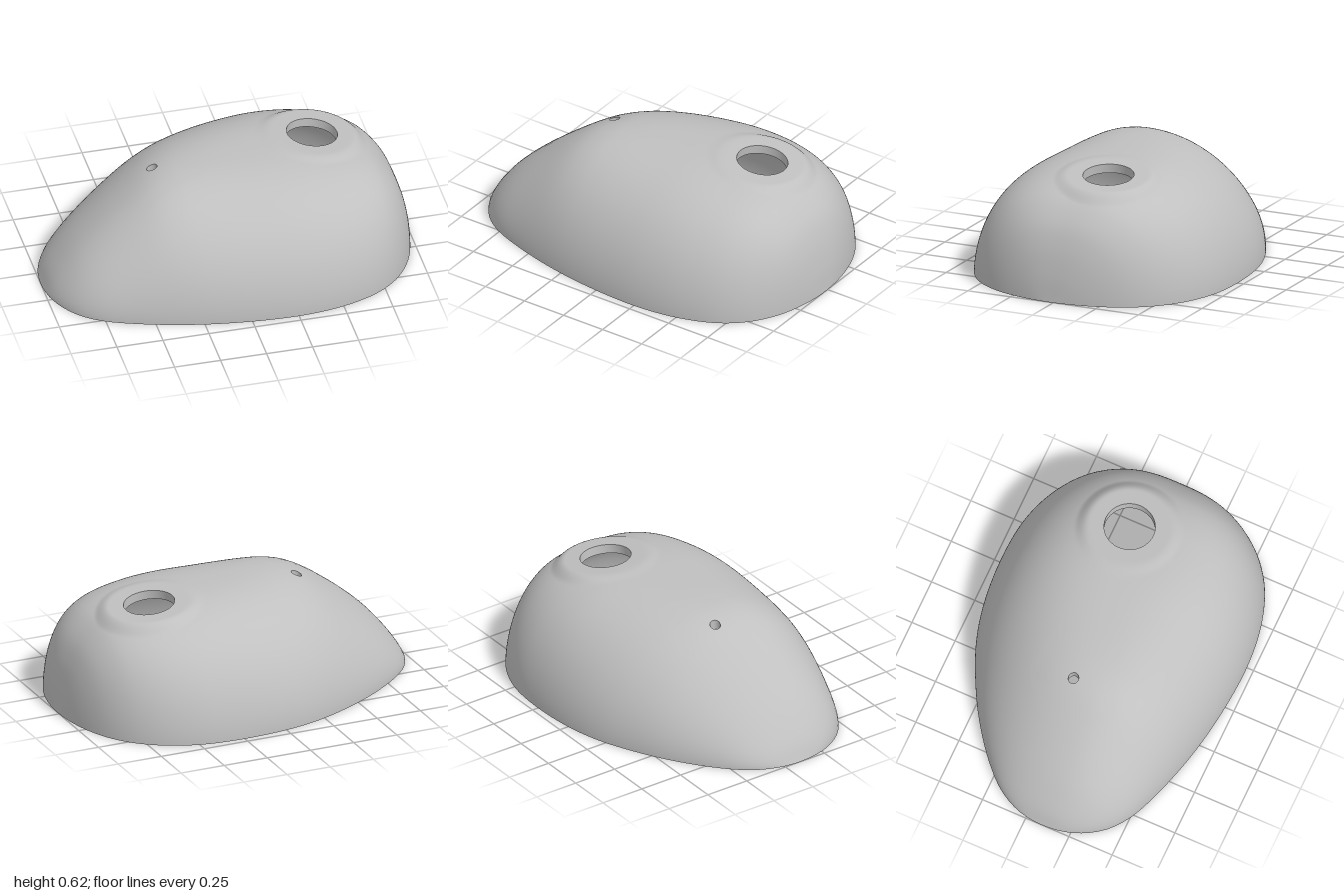
import * as THREE from 'three';

const COLS = 220, ROWS = 84, WALL = 0.05;
const BIG = { x: 0.52, z: -0.09, r: 0.135 };      // large opening
const SMALL = { x: -0.37, z: -0.01, r: 0.028 };   // small drilled hole
const J0 = 110, CUT = 3, BLEND = 9;               // grid block around the small hole
const { lerp, smoothstep } = THREE.MathUtils;

const spline = (pts, closed) => new THREE.CatmullRomCurve3(
  pts.map(([x, y]) => new THREE.Vector3(x, y, 0)), closed, 'centripetal').getPoints(1200);

// piecewise-linear lookup in a list of [key, value] sorted by key
function lookup(list, k) {
  let lo = 0, hi = list.length - 1;
  if (k <= list[lo][0]) return list[lo][1];
  if (k >= list[hi][0]) return list[hi][1];
  while (hi - lo > 1) {
    const m = (lo + hi) >> 1;
    if (list[m][0] <= k) lo = m; else hi = m;
  }
  const t = (k - list[lo][0]) / (list[hi][0] - list[lo][0] || 1);
  return lerp(list[lo][1], list[hi][1], t);
}
const sorted = (list) => list.sort((a, b) => a[0] - b[0]);

// base outline (x, z): back edge, then front edge
const backEdge = [[-1, 0.12], [-0.985, -0.03], [-0.92, -0.17], [-0.8, -0.3], [-0.6, -0.452], [-0.4, -0.565],
  [-0.2, -0.65], [0, -0.697], [0.25, -0.715], [0.48, -0.695], [0.66, -0.63], [0.8, -0.53], [0.9, -0.4],
  [0.97, -0.22], [1, 0]];
const frontEdge = [[0.985, 0.18], [0.93, 0.36], [0.835, 0.505], [0.7, 0.61], [0.5, 0.682], [0.27, 0.711],
  [0, 0.7], [-0.3, 0.655], [-0.6, 0.572], [-0.78, 0.495], [-0.89, 0.405], [-0.97, 0.27]];
const outline = spline([...backEdge, ...frontEdge], true);
const split = outline.reduce((best, p, i) => (p.x > outline[best].x ? i : best), 0);
const backZ = sorted(outline.slice(0, split + 1).map((p) => [p.x, p.y]));
const frontZ = sorted(outline.slice(split).map((p) => [p.x, p.y]));
const reach = sorted(outline.map((p) => [
  Math.atan2(p.y - BIG.z, p.x - BIG.x), Math.hypot(p.x - BIG.x, p.y - BIG.z)]));

// crest height along x
const crest = sorted(spline([[-1, 0], [-0.96, 0.085], [-0.9, 0.17], [-0.8, 0.28], [-0.6, 0.445], [-0.42, 0.56],
  [-0.3, 0.598], [-0.18, 0.61], [0.1, 0.613], [0.3, 0.61], [0.5, 0.592], [0.65, 0.567], [0.75, 0.533],
  [0.82, 0.49], [0.9, 0.4], [0.95, 0.29], [0.985, 0.14], [1, 0]], false).map((p) => [p.x, p.y]));

// outer height: skewed oval sections, narrow at one end and full at the other, plus the flat boss
function height(x, z) {
  const zb = lookup(backZ, x), zf = lookup(frontZ, x);
  const lean = 0.17 * (1 - smoothstep(x, -0.6, 0.3));
  const za = (zb + zf) / 2 + lean * (zf - zb) / 2;
  const v = Math.min(1, Math.abs(z - za) / Math.max(1e-4, z > za ? zf - za : za - zb));
  const power = lerp(1.9, 2.9, smoothstep(x, -0.7, 0.6));
  const body = lookup(crest, x) * Math.pow(1 - Math.pow(v, power), 0.56);
  const d = Math.hypot(x - BIG.x, z - BIG.z);
  const plane = 0.587 - 0.125 * (x - BIG.x) + 0.04 * (z - BIG.z);
  return lerp(plane, body, smoothstep(d, 0.215, 0.29));
}

const a0 = Math.atan2(SMALL.z - BIG.z, SMALL.x - BIG.x);
const ease = (i) => 1 - Math.pow(1 - i / ROWS, 1.8);

// plan position of a grid vertex, rings running from the opening to the rim
function plan(i, j) {
  let a = a0 + ((j - J0) * 2 * Math.PI) / COLS;
  a = Math.atan2(Math.sin(a), Math.cos(a));
  const r = lerp(BIG.r, lookup(reach, a), ease(i));
  return [BIG.x + r * Math.cos(a), BIG.z + r * Math.sin(a)];
}
const missBy = (i) => Math.abs(plan(i, J0)[0] - SMALL.x);
let I0 = 0;
for (let i = 1; i <= ROWS; i++) if (missBy(i) < missBy(I0)) I0 = i;

// 0 at the edge of the small hole, 1 away from it
const ringOf = (i, j) => Math.max(Math.abs(i - I0), Math.abs(j - J0));
const awayFromHole = (m) => THREE.MathUtils.clamp((m - CUT) / (BLEND - CUT), 0, 1);

function surface(points, indices) {
  const g = new THREE.BufferGeometry();
  g.setAttribute('position', new THREE.Float32BufferAttribute(points.flatMap((p) => [p.x, p.y, p.z]), 3));
  g.setIndex(indices);
  g.computeVertexNormals();
  return g;
}

// closed band between two matching loops
function band(A, B) {
  const n = A.length, idx = [];
  for (let j = 0; j < n; j++) {
    const k = (j + 1) % n;
    idx.push(j, k, n + j, k, n + k, n + j);
  }
  return surface([...A, ...B], idx);
}

export function createModel() {
  const group = new THREE.Group();
  const grey = new THREE.MeshStandardMaterial({ color: 0xc0c0c0 });
  grey.name = 'plain grey';
  const add = (name, geometry) => {
    const mesh = new THREE.Mesh(geometry, grey);
    mesh.name = name;
    group.add(mesh);
  };

  // outer shell grid, squeezed into a round edge at the small hole
  const outer = [], idx = [], smallLoop = [];
  const [cx, cz] = plan(I0, J0);
  for (let i = 0; i <= ROWS; i++) {
    for (let j = 0; j < COLS; j++) {
      let [x, z] = plan(i, j);
      const m = ringOf(i, j);
      if (m > 0 && m < BLEND) {
        const d = Math.atan2(z - cz, x - cx);
        const w = awayFromHole(m);
        x = lerp(SMALL.x + SMALL.r * Math.cos(d), x, w);
        z = lerp(SMALL.z + SMALL.r * Math.sin(d), z, w);
        if (m === CUT) smallLoop.push([d, i * COLS + j]);
      }
      outer.push(new THREE.Vector3(x, i === ROWS ? 0 : height(x, z), z));
      if (i === ROWS) continue;
      const inCut = i >= I0 - CUT && i < I0 + CUT && j >= J0 - CUT && j < J0 + CUT;
      if (inCut) continue;
      const k = (j + 1) % COLS;
      const a = i * COLS + j, b = i * COLS + k, c = a + COLS, e = b + COLS;
      idx.push(a, b, c, b, e, c);
    }
  }
  const outerGeometry = surface(outer, idx);
  add('outerShell', outerGeometry);

  // inner shell: the outer one moved inwards by the wall thickness, straight down at the small hole
  const normals = outerGeometry.attributes.normal;
  const inner = outer.map((p, n) => {
    const i = Math.floor(n / COLS), q = new THREE.Vector3().fromBufferAttribute(normals, n);
    if (i === ROWS) q.setY(0).normalize();
    const w = awayFromHole(ringOf(i, n % COLS));
    if (w < 1) q.lerp(new THREE.Vector3(0, 1 / Math.max(0.5, q.y), 0), 1 - w);
    q.multiplyScalar(-WALL).add(p);
    q.y = Math.max(0, q.y);
    return q;
  });
  const flipped = [];
  for (let n = 0; n < idx.length; n += 3) flipped.push(idx[n], idx[n + 2], idx[n + 1]);
  add('innerShell', surface(inner, flipped));

  // wall edges
  const pick = (list, loop) => loop.map((n) => list[n]);
  const row = (i) => Array.from({ length: COLS }, (_, j) => i * COLS + j);
  const hole = sorted(smallLoop).map((e) => e[1]);
  add('bottomRim', band(pick(outer, row(ROWS)), pick(inner, row(ROWS))));
  add('openingWall', band(pick(inner, row(0)), pick(outer, row(0))));
  add('smallHoleWall', band(pick(inner, hole), pick(outer, hole)));
  return group;
}
